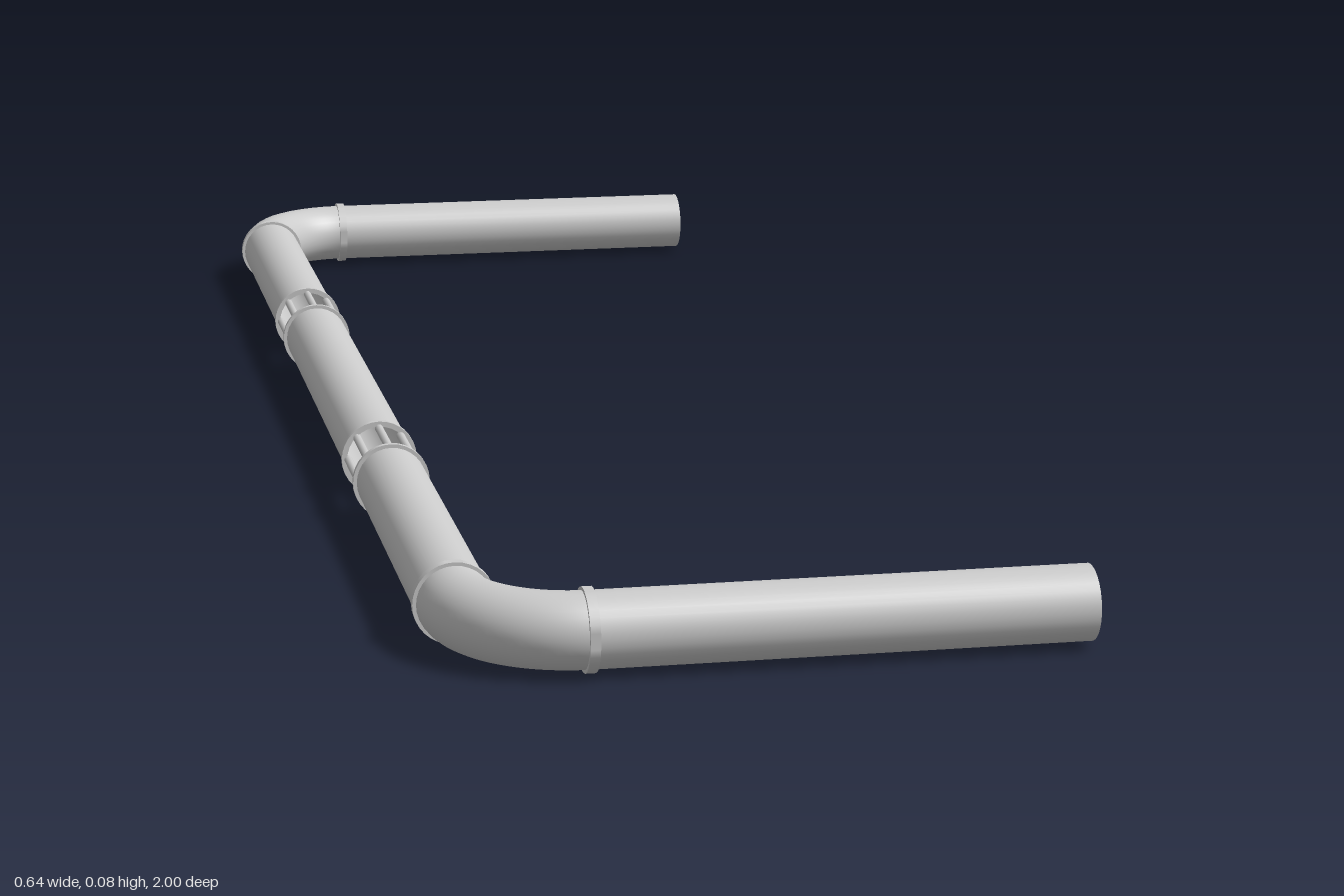
import * as THREE from 'three';
import { toCreasedNormals } from 'three/addons/utils/BufferGeometryUtils.js';

const R = 0.0375;        // pipe radius
const BEND = 0.11;       // elbow centreline radius
const Y = 0.0415;        // height of the pipe axis
const X = -0.279;        // axis of the long run
const Z = 0.959;         // axis of the side arms
const END_X = 0.32;      // open ends of the arms
const GAP = [0.3, 0.4];  // open sections in the long run

const metal = new THREE.MeshStandardMaterial({ color: 0xcccccc });
const sheet = new THREE.MeshStandardMaterial({ color: 0xcccccc, side: THREE.DoubleSide });

function addMesh(parent, name, geometry, material = metal) {
  const mesh = new THREE.Mesh(geometry, material);
  mesh.name = name;
  parent.add(mesh);
  return mesh;
}

// Open pipe along z or x between two coordinates
function addPipe(parent, name, axis, from, to, fixed) {
  const geometry = new THREE.CylinderGeometry(R, R, to - from, 32, 1, true);
  const mid = (from + to) / 2;
  if (axis === 'z') geometry.rotateX(Math.PI / 2).translate(fixed, Y, mid);
  else geometry.rotateZ(Math.PI / 2).translate(mid, Y, fixed);
  addMesh(parent, name, geometry, sheet);
}

// Raised band around a pipe
function addCollar(parent, name, axis, x, z, radius, width) {
  const h = width / 2, inner = R - 0.002;
  const profile = [[inner, -h], [radius, -h], [radius, h], [inner, h], [inner, -h]]
    .map(([r, y]) => new THREE.Vector2(r, y));
  const geometry = toCreasedNormals(new THREE.LatheGeometry(profile, 32), 0.6);
  if (axis === 'z') geometry.rotateX(Math.PI / 2);
  else geometry.rotateZ(Math.PI / 2);
  geometry.translate(x, Y, z);
  addMesh(parent, name, geometry);
}

// Quarter-circle centreline of an elbow
class ElbowCurve extends THREE.Curve {
  constructor(side) {
    super();
    this.side = side;
  }
  getPoint(t, target = new THREE.Vector3()) {
    const a = t * Math.PI / 2;
    return target.set(
      X + BEND - BEND * Math.cos(a), Y,
      this.side * (Z - BEND + BEND * Math.sin(a)));
  }
}

// Cage of rods joining two pipe ends across a gap
function addCage(parent, side) {
  const cage = new THREE.Group();
  cage.name = 'rodCage';
  const [a, b] = GAP;
  const count = 8, ringRadius = 0.034;
  for (let i = 0; i < count; i++) {
    const angle = i / count * Math.PI * 2;
    const rod = new THREE.CylinderGeometry(0.0045, 0.0045, b - a, 10);
    rod.rotateX(Math.PI / 2).translate(
      X + ringRadius * Math.cos(angle), Y + ringRadius * Math.sin(angle), side * (a + b) / 2);
    addMesh(cage, 'rod', rod);
  }
  for (const z of GAP) addCollar(cage, 'cageRing', 'z', X, side * z, 0.0415, 0.006);
  parent.add(cage);
}

export function createModel() {
  const model = new THREE.Group();
  model.name = 'pipeRun';

  addPipe(model, 'centrePipe', 'z', -GAP[0], GAP[0], X);

  for (const side of [1, -1]) {
    const half = new THREE.Group();
    half.name = side > 0 ? 'frontHalf' : 'backHalf';
    model.add(half);

    // Straight pipes either side of the elbow
    const bendZ = Z - BEND, bendX = X + BEND;
    const ends = [side * GAP[1], side * bendZ].sort((p, q) => p - q);
    addPipe(half, 'outerPipe', 'z', ends[0], ends[1], X);
    addPipe(half, 'armPipe', 'x', bendX, END_X, side * Z);

    // Elbow with a collar at each end
    addMesh(half, 'elbow', new THREE.TubeGeometry(new ElbowCurve(side), 20, R, 32, false), sheet);
    addCollar(half, 'elbowCollar', 'z', X, side * bendZ, 0.041, 0.01);
    addCollar(half, 'elbowCollar', 'x', bendX, side * Z, 0.041, 0.01);

    addCage(half, side);
  }
  return model;
}
